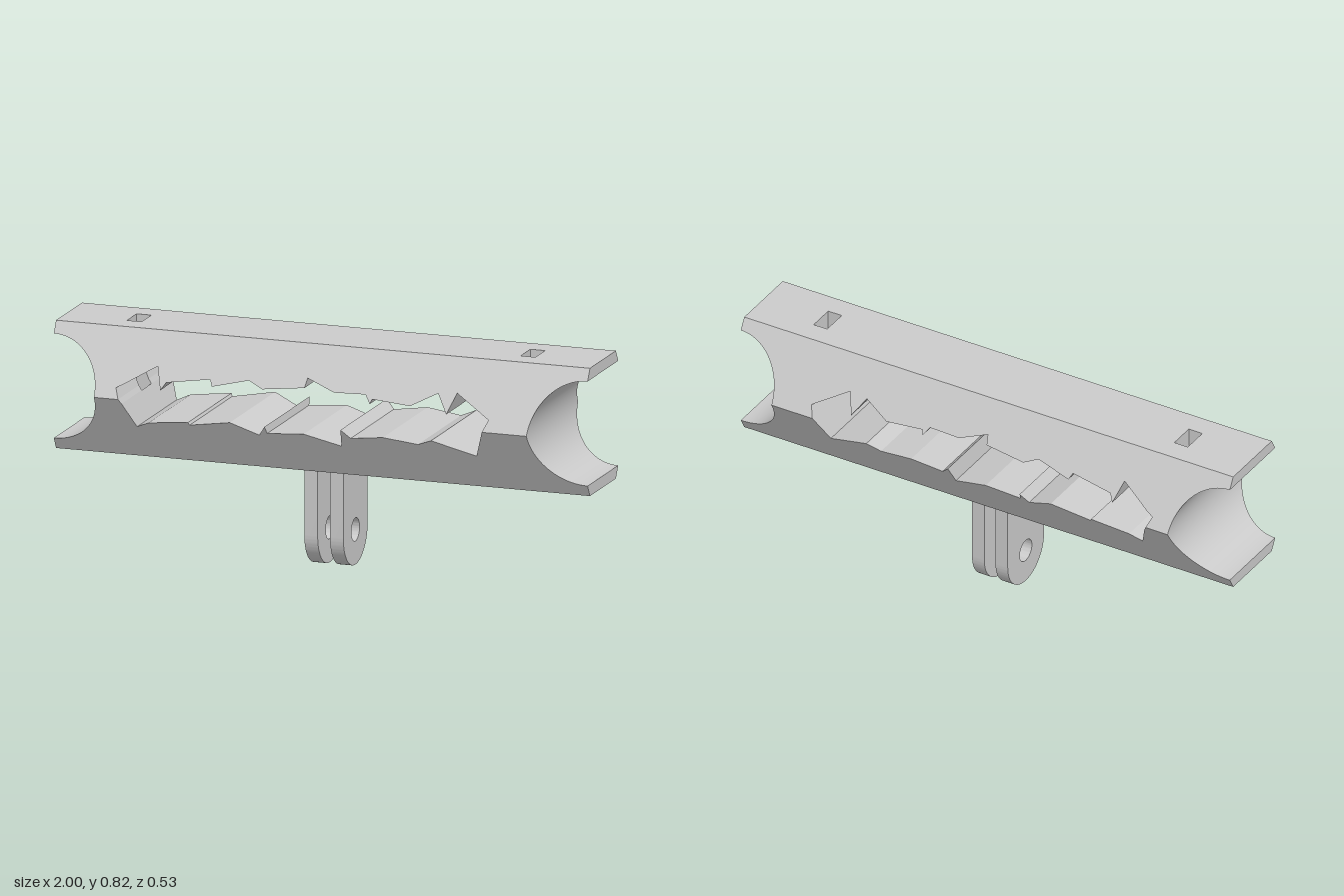
import * as THREE from 'three';
import { toCreasedNormals } from 'three/addons/utils/BufferGeometryUtils.js';

const MID = 0.593, HALF = 0.232, TOP = MID + HALF, BOT = MID - HALF;
const END_R = 0.19;                       // radius of the scooped ends
const SLOT_IN = 0.71, SLOT_OUT = 0.765, SLOT_Z = 0.05;

// Half depth of the hexagonal bar at height y
const depth = (y) => 0.266 - 0.133 * Math.abs(y - MID) / HALF;

// Ragged window edges, left to right
const upperEdge = [
  [-0.72, MID], [-0.735, 0.63], [-0.71, 0.642], [-0.595, 0.709], [-0.57, 0.634], [-0.553, 0.66],
  [-0.393, 0.682], [-0.382, 0.66], [-0.249, 0.69], [-0.195, 0.666], [-0.04, 0.682], [-0.034, 0.714],
  [0.072, 0.676], [0.19, 0.679], [0.211, 0.65], [0.217, 0.666], [0.361, 0.655], [0.457, 0.703],
  [0.5, 0.639], [0.527, 0.709], [0.66, 0.633], [0.643, MID],
];
const lowerEdge = [
  [-0.72, MID], [-0.71, 0.576], [-0.671, 0.484], [-0.623, 0.505], [-0.473, 0.521], [-0.468, 0.511],
  [-0.313, 0.537], [-0.211, 0.495], [-0.184, 0.532], [-0.179, 0.505], [-0.04, 0.516], [0.094, 0.479],
  [0.104, 0.548], [0.136, 0.516], [0.259, 0.532], [0.388, 0.516], [0.441, 0.537], [0.602, 0.489],
  [0.643, MID],
];

// Counter-clockwise outline of the upper (s = 1) or lower (s = -1) half of the bar
function halfOutline(s, windowEdge) {
  const arc = [];
  for (let i = 0; i <= 24; i++) {
    const a = (i / 24) * Math.PI / 2;
    arc.push([1 - END_R * Math.cos(a), i ? MID + s * END_R * Math.sin(a) : MID]);
  }
  const flat = [1, SLOT_OUT, SLOT_IN, -SLOT_IN, -SLOT_OUT, -1].map((x) => [x, MID + s * HALF]);
  const leftArc = arc.map(([x, y]) => [-x, y]).reverse();
  const points = [...arc, ...flat, ...leftArc, ...windowEdge];
  return s > 0 ? points : points.reverse();
}

function barGeometry() {
  const pos = [];
  const tri = (a, b, c) => pos.push(...a, ...b, ...c);

  // Wall along the edge a-b, running between two depths at each end
  const wall = (a, b, a0, a1, b0, b1) => {
    tri([...a, a0], [...b, b0], [...b, b1]);
    tri([...a, a0], [...b, b1], [...a, a1]);
  };
  // Front-facing and back-facing copies of a flat outline
  const faces = (points, front, back) => {
    const contour = points.map(([x, y]) => new THREE.Vector2(x, y));
    for (const f of THREE.ShapeUtils.triangulateShape(contour, [])) {
      const [a, b, c] = f.map((i) => points[i]);
      const at = (p, z) => [...p, z(p[1])];
      tri(at(a, front), at(b, front), at(c, front));
      tri(at(c, back), at(b, back), at(a, back));
    }
  };
  const eachEdge = (points, fn) =>
    points.forEach((p, i) => fn(p, points[(i + 1) % points.length]));

  // Sloping sides, end scoops, top, bottom and window walls
  for (const points of [halfOutline(1, upperEdge), halfOutline(-1, lowerEdge)]) {
    faces(points, depth, (y) => -depth(y));
    eachEdge(points, (a, b) => {
      if (a[1] === MID && b[1] === MID) return;   // no wall where the halves join
      const da = depth(a[1]), db = depth(b[1]);
      const x = Math.abs(a[0] + b[0]) / 2;
      if (x > SLOT_IN && x < SLOT_OUT) {          // leave the slot open
        wall(a, b, -da, -SLOT_Z, -db, -SLOT_Z);
        wall(a, b, SLOT_Z, da, SLOT_Z, db);
      } else wall(a, b, -da, da, -db, db);
    });
  }

  // Strap slots; the one at -x meets the tip of the window
  const slots = [
    [[SLOT_IN, BOT], [SLOT_OUT, BOT], [SLOT_OUT, TOP], [SLOT_IN, TOP]],
    [[-SLOT_OUT, BOT], [-SLOT_IN, BOT], lowerEdge[1], lowerEdge[0], upperEdge[1], upperEdge[2],
      [-SLOT_IN, TOP], [-SLOT_OUT, TOP]],
  ];
  for (const points of slots) {
    faces(points, () => -SLOT_Z, () => SLOT_Z);
    eachEdge(points, (a, b) => {
      if (a[0] === b[0]) wall(b, a, -SLOT_Z, SLOT_Z, -SLOT_Z, SLOT_Z);
    });
  }

  const geo = new THREE.BufferGeometry();
  geo.setAttribute('position', new THREE.Float32BufferAttribute(pos, 3));
  return toCreasedNormals(geo, 0.12);
}

// Rounded mounting lug with a bolt hole
function lugGeometry() {
  const r = 0.125, thick = 0.05;
  const shape = new THREE.Shape();
  shape.moveTo(r, BOT);
  shape.lineTo(-r, BOT);
  shape.lineTo(-r, r);
  shape.absarc(0, r, r, Math.PI, Math.PI * 2, false);
  shape.closePath();
  shape.holes.push(new THREE.Path().absarc(0, 0.127, 0.042, 0, Math.PI * 2, true));
  const geo = new THREE.ExtrudeGeometry(shape, { depth: thick, bevelEnabled: false, curveSegments: 32 });
  geo.translate(0, 0, -thick / 2).rotateY(Math.PI / 2);
  return toCreasedNormals(geo, 0.5);
}

export function createModel() {
  const group = new THREE.Group();
  group.name = 'hexBarMount';
  const material = new THREE.MeshStandardMaterial({ color: 0xcccccc });

  const bar = new THREE.Mesh(barGeometry(), material);
  bar.name = 'hexBar';
  group.add(bar);

  const lug = lugGeometry();
  for (const [name, side] of [['leftLug', 1], ['rightLug', -1]]) {
    const mesh = new THREE.Mesh(lug, material);
    mesh.name = name;
    mesh.position.x = side * 0.048;
    group.add(mesh);
  }
  return group;
}
